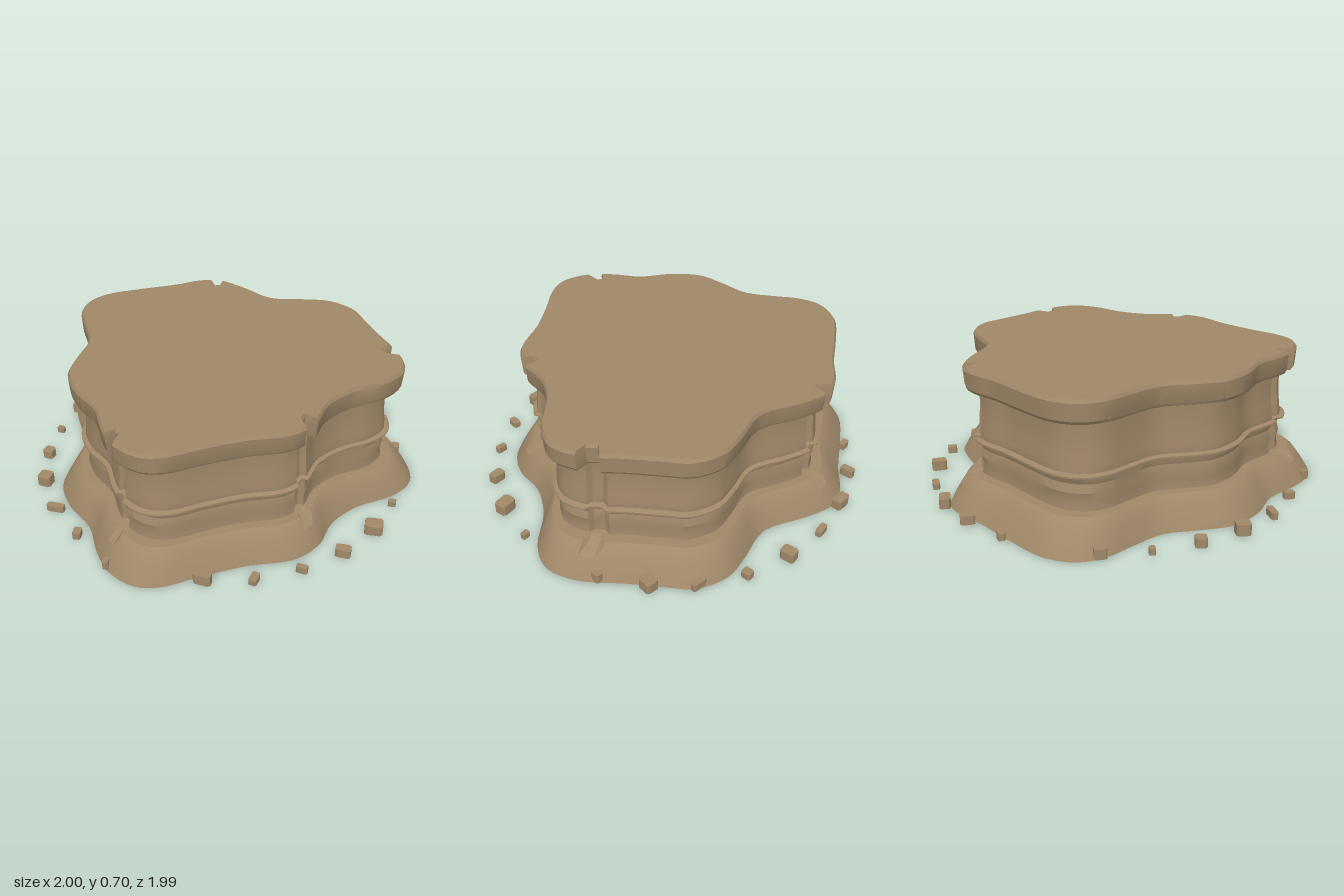
import * as THREE from 'three';
import { toCreasedNormals } from 'three/addons/utils/BufferGeometryUtils.js';

const rock = new THREE.MeshStandardMaterial({ color: 0xa08868 });
rock.name = 'sandstone';

// Foot outline of the plateau as x, z pairs, clockwise from the back
const OUTLINE = [
  -0.30, -0.91, -0.13, -0.86, 0.09, -0.765, 0.30, -0.81, 0.45, -0.83, 0.61, -0.765, 0.70, -0.65,
  0.81, -0.50, 0.95, -0.32, 0.995, -0.16, 0.93, -0.02, 0.76, 0.13, 0.66, 0.29, 0.63, 0.465,
  0.54, 0.60, 0.33, 0.71, 0.14, 0.84, -0.02, 0.96, -0.14, 0.99, -0.29, 0.935, -0.40, 0.82,
  -0.50, 0.67, -0.66, 0.55, -0.77, 0.40, -0.79, 0.24, -0.80, 0.05, -0.89, -0.11, -0.97, -0.24,
  -0.995, -0.37, -0.93, -0.51, -0.74, -0.65, -0.555, -0.765, -0.42, -0.87,
];
const COUNT = OUTLINE.length / 2;

// Clefts: positions along the outline, and their cross-section [offset, depth]
const CLEFTS = [32.9, 7.85, 13.2, 19.3];
const CLEFT_SHAPE = [[-0.3, 0], [-0.14, 1], [0.14, 0.85], [0.26, 0]];

// Ring of { x, z, cleft } samples shared by every layer
function makeRing() {
  const points = [];
  for (let i = 0; i < COUNT; i++) points.push(new THREE.Vector3(OUTLINE[2 * i], 0, OUTLINE[2 * i + 1]));
  const curve = new THREE.CatmullRomCurve3(points, true);
  const samples = [];
  for (let i = 0; i < COUNT * 4; i++) {
    const u = i / 4;
    const clear = CLEFTS.every((c) => {
      const d = Math.abs(u - c);
      return Math.min(d, COUNT - d) > 0.34;
    });
    if (clear) samples.push([u, 0]);
  }
  for (const c of CLEFTS) {
    for (const [offset, depth] of CLEFT_SHAPE) samples.push([(c + offset + COUNT) % COUNT, depth]);
  }
  samples.sort((a, b) => a[0] - b[0]);
  return samples.map(([u, cleft]) => {
    const p = curve.getPoint(u / COUNT);
    return { x: p.x, z: p.z, cleft };
  });
}

// Closed layer from rows of [scale, y, cleft depth], bottom to top
function layer(name, ring, rows) {
  const all = [[0, rows[0][1], 0], ...rows, [0, rows[rows.length - 1][1], 0]];
  const n = ring.length;
  const pos = [];
  const index = [];
  for (const [scale, y, depth] of all) {
    for (const p of ring) {
      const s = Math.max(0, scale - (depth * p.cleft) / Math.hypot(p.x, p.z));
      pos.push(p.x * s, y, p.z * s);
    }
  }
  for (let r = 0; r < all.length - 1; r++) {
    for (let i = 0; i < n; i++) {
      const j = (i + 1) % n;
      const a = r * n + i, b = r * n + j;
      if (r > 0) index.push(a, a + n, b);
      if (r < all.length - 2) index.push(b, a + n, b + n);
    }
  }
  const geo = new THREE.BufferGeometry();
  geo.setAttribute('position', new THREE.Float32BufferAttribute(pos, 3));
  geo.setIndex(index);
  const mesh = new THREE.Mesh(toCreasedNormals(geo, 0.45), rock);
  mesh.name = name;
  return mesh;
}

// Loose stones: x, z, width, depth, height
const STONES = [
  [-0.32, -0.935, 0.09, 0.055, 0.05], [-0.09, -0.98, 0.075, 0.035, 0.03], [0.155, -0.965, 0.06, 0.075, 0.05],
  [0.385, -0.895, 0.045, 0.05, 0.035], [0.59, -0.77, 0.08, 0.03, 0.04], [0.75, -0.6, 0.07, 0.075, 0.055],
  [0.88, -0.39, 0.04, 0.05, 0.05], [0.93, 0.07, 0.04, 0.03, 0.03], [0.87, 0.295, 0.09, 0.07, 0.055],
  [0.755, 0.505, 0.075, 0.05, 0.045], [0.59, 0.675, 0.055, 0.03, 0.035], [0.39, 0.8, 0.04, 0.065, 0.03],
  [0.16, 0.875, 0.085, 0.045, 0.055], [-0.31, 0.91, 0.03, 0.04, 0.045], [-0.53, 0.75, 0.04, 0.055, 0.035],
  [-0.715, 0.6, 0.09, 0.035, 0.035], [-0.86, 0.41, 0.07, 0.07, 0.055], [-0.945, 0.19, 0.055, 0.055, 0.045],
  [-0.98, -0.04, 0.04, 0.03, 0.03], [-0.975, -0.27, 0.05, 0.06, 0.05], [-0.72, -0.685, 0.055, 0.035, 0.035],
  [-0.54, -0.83, 0.04, 0.07, 0.045],
];

// Eight-sided chip with clipped corners
function stone([x, z, w, d, h], i) {
  const c = 0.3;
  const corners = [[1, -1 + c], [1, 1 - c], [1 - c, 1], [-1 + c, 1], [-1, 1 - c], [-1, -1 + c], [-1 + c, -1], [1 - c, -1]];
  const shape = new THREE.Shape(corners.map(([a, b]) => new THREE.Vector2((a * w) / 2, (b * d) / 2)));
  const geo = new THREE.ExtrudeGeometry(shape, { depth: h, bevelEnabled: false });
  geo.rotateX(-Math.PI / 2);
  const mesh = new THREE.Mesh(geo, rock);
  mesh.position.set(x, 0.005, z);
  mesh.rotation.y = Math.sin(i * 7.3) * 0.12;
  mesh.name = 'looseStone';
  return mesh;
}

export function createModel() {
  const model = new THREE.Group();
  model.name = 'rockPlateau';
  const ring = makeRing();

  // Sloping foot; the clefts fade out partway down
  model.add(layer('footSlope', ring, [
    [1, 0, 0], [0.97, 0.05, 0], [0.935, 0.1, 0], [0.905, 0.138, 0.045], [0.88, 0.155, 0.06],
  ]));
  // Weathered cliff wall
  model.add(layer('cliffWall', ring, [
    [0.825, 0.15, 0.03], [0.818, 0.2, 0.03], [0.826, 0.24, 0.03], [0.815, 0.28, 0.03], [0.83, 0.32, 0.03],
    [0.826, 0.37, 0.03], [0.82, 0.42, 0.03], [0.814, 0.5, 0.03], [0.818, 0.59, 0.03],
  ]));
  // Thin strata ledge
  model.add(layer('strataLedge', ring, [
    [0.825, 0.315, 0.03], [0.855, 0.322, 0.03], [0.855, 0.33, 0.03], [0.825, 0.338, 0.03],
  ]));
  // Overhanging cap slab
  model.add(layer('capSlab', ring, [
    [0.88, 0.585, 0.07], [0.89, 0.6, 0.07], [0.897, 0.685, 0.07], [0.885, 0.702, 0.07],
  ]));

  const stones = new THREE.Group();
  stones.name = 'looseStones';
  STONES.forEach((s, i) => stones.add(stone(s, i)));
  model.add(stones);
  return model;
}
